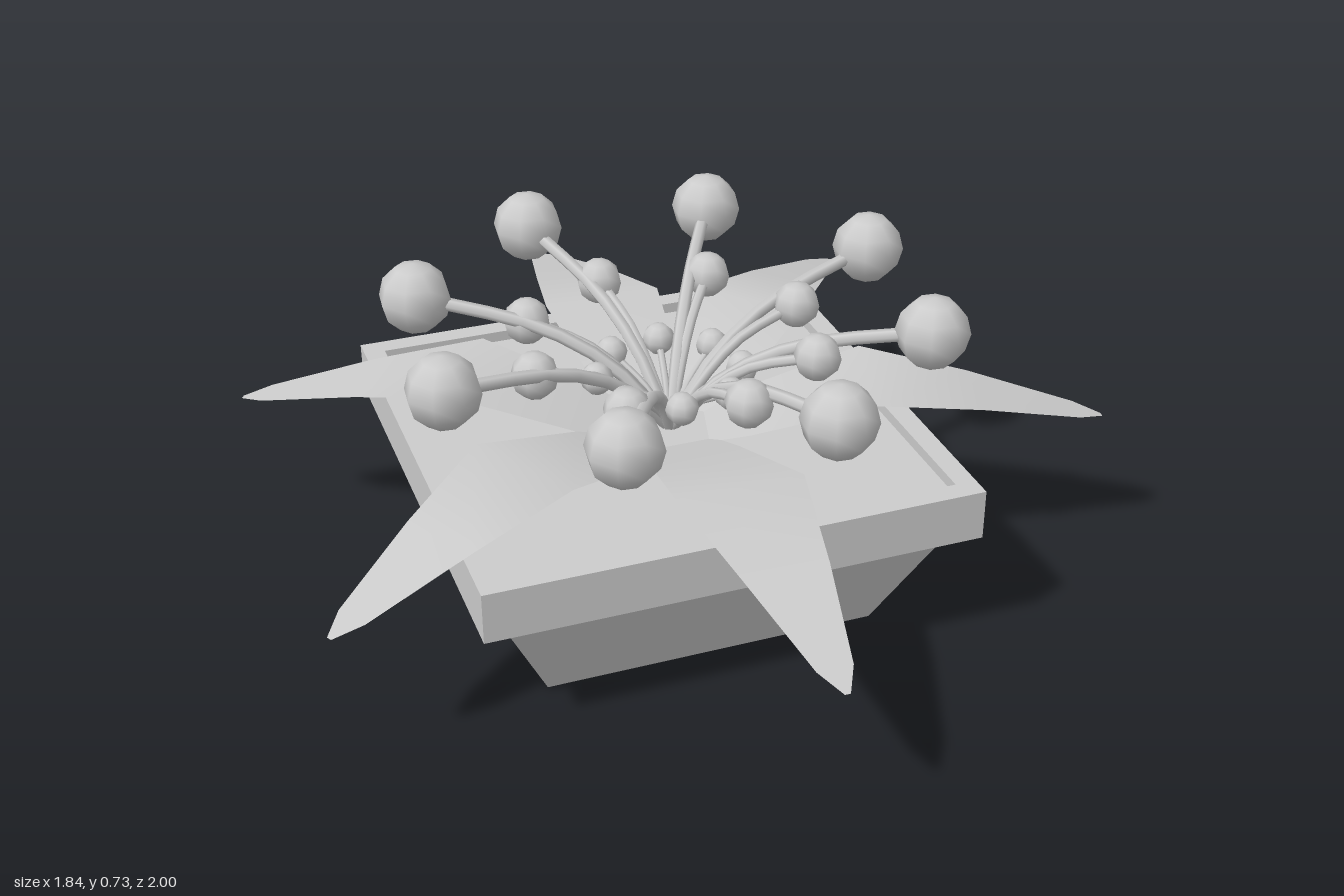
import * as THREE from 'three';

const grey = new THREE.MeshStandardMaterial({ color: 0xcccccc });
const flat = new THREE.MeshStandardMaterial({ color: 0xcccccc, flatShading: true });
const thin = new THREE.MeshStandardMaterial({ color: 0xcccccc, side: THREE.DoubleSide });

function addMesh(parent, name, geometry, material) {
  const mesh = new THREE.Mesh(geometry, material);
  mesh.name = name;
  parent.add(mesh);
  return mesh;
}

function square(half, PathType) {
  return new PathType([[-1, -1], [1, -1], [1, 1], [-1, 1]]
    .map(([x, y]) => new THREE.Vector2(x * half, y * half)));
}

// Square tapered pot with an overhanging rim and recessed soil
function createPot() {
  const pot = new THREE.Group();
  pot.name = 'pot';
  const body = new THREE.CylinderGeometry(0.5 * Math.SQRT2, 0.375 * Math.SQRT2, 0.28, 4);
  body.rotateY(Math.PI / 4).translate(0, 0.14, 0);
  addMesh(pot, 'potBody', body, flat);

  const frame = square(0.548, THREE.Shape);
  frame.holes.push(square(0.5, THREE.Path));
  const rim = new THREE.ExtrudeGeometry(frame, { depth: 0.115, bevelEnabled: false });
  rim.rotateX(-Math.PI / 2).translate(0, 0.28, 0);
  addMesh(pot, 'potRim', rim, flat);

  addMesh(pot, 'soil', new THREE.BoxGeometry(1, 0.09, 1), flat).position.y = 0.325;
  pot.position.set(-0.073, 0, -0.015);
  return pot;
}

// Leaf blade along +x: rows of [distance, height, half width]
function leafGeometry() {
  const rows = [[0, 0.345, 0.06], [0.18, 0.395, 0.105], [0.455, 0.475, 0.14],
    [0.7, 0.425, 0.092], [0.94, 0.362, 0.038], [1, 0.345, 0.006]];
  const points = [], index = [];
  rows.forEach(([r, y, w], i) => {
    points.push(r, y, -w, r, y, w);
    if (i) {
      const a = 2 * i - 2;
      index.push(a, a + 1, a + 2, a + 1, a + 3, a + 2);
    }
  });
  const geometry = new THREE.BufferGeometry();
  geometry.setAttribute('position', new THREE.Float32BufferAttribute(points, 3));
  geometry.setIndex(index);
  geometry.computeVertexNormals();
  return geometry;
}

// One ring of eight curved stems, each ending in a faceted round bloom
function createBloomRing(name, { angle, radius, thickness, path }) {
  const ring = new THREE.Group();
  ring.name = name;
  const points = path.map(([r, y]) => new THREE.Vector3(r, y, 0));
  const stem = new THREE.TubeGeometry(new THREE.CatmullRomCurve3(points), 8, thickness, 6);
  const ball = new THREE.SphereGeometry(radius, 8, 6);
  for (let i = 0; i < 8; i++) {
    const flower = new THREE.Group();
    flower.name = 'flower';
    addMesh(flower, 'stem', stem, grey);
    addMesh(flower, 'bloom', ball, grey).position.copy(points[points.length - 1]);
    flower.rotation.y = THREE.MathUtils.degToRad(angle + 45 * i);
    ring.add(flower);
  }
  ring.position.x = -0.04;
  return ring;
}

export function createModel() {
  const model = new THREE.Group();
  model.name = 'pottedPlant';
  model.add(createPot());

  // Six drooping leaves, unevenly spread
  const leaves = new THREE.Group();
  leaves.name = 'leaves';
  leaves.position.x = -0.05;
  const blade = leafGeometry();
  for (const angle of [45, 90, 150, 210, 270, 345]) {
    addMesh(leaves, 'leaf', blade, thin).rotation.y = THREE.MathUtils.degToRad(angle);
  }
  model.add(leaves);

  // Large outer, medium and small inner blooms
  model.add(
    createBloomRing('outerBlooms', {
      angle: 16.5, radius: 0.082, thickness: 0.015,
      path: [[0, 0.36], [0.12, 0.5], [0.28, 0.59], [0.57, 0.648]],
    }),
    createBloomRing('middleBlooms', {
      angle: 10, radius: 0.053, thickness: 0.012,
      path: [[0, 0.36], [0.08, 0.46], [0.18, 0.54], [0.33, 0.588]],
    }),
    createBloomRing('innerBlooms', {
      angle: 34.5, radius: 0.037, thickness: 0.008,
      path: [[0, 0.36], [0.06, 0.44], [0.163, 0.503]],
    }),
  );
  return model;
}
